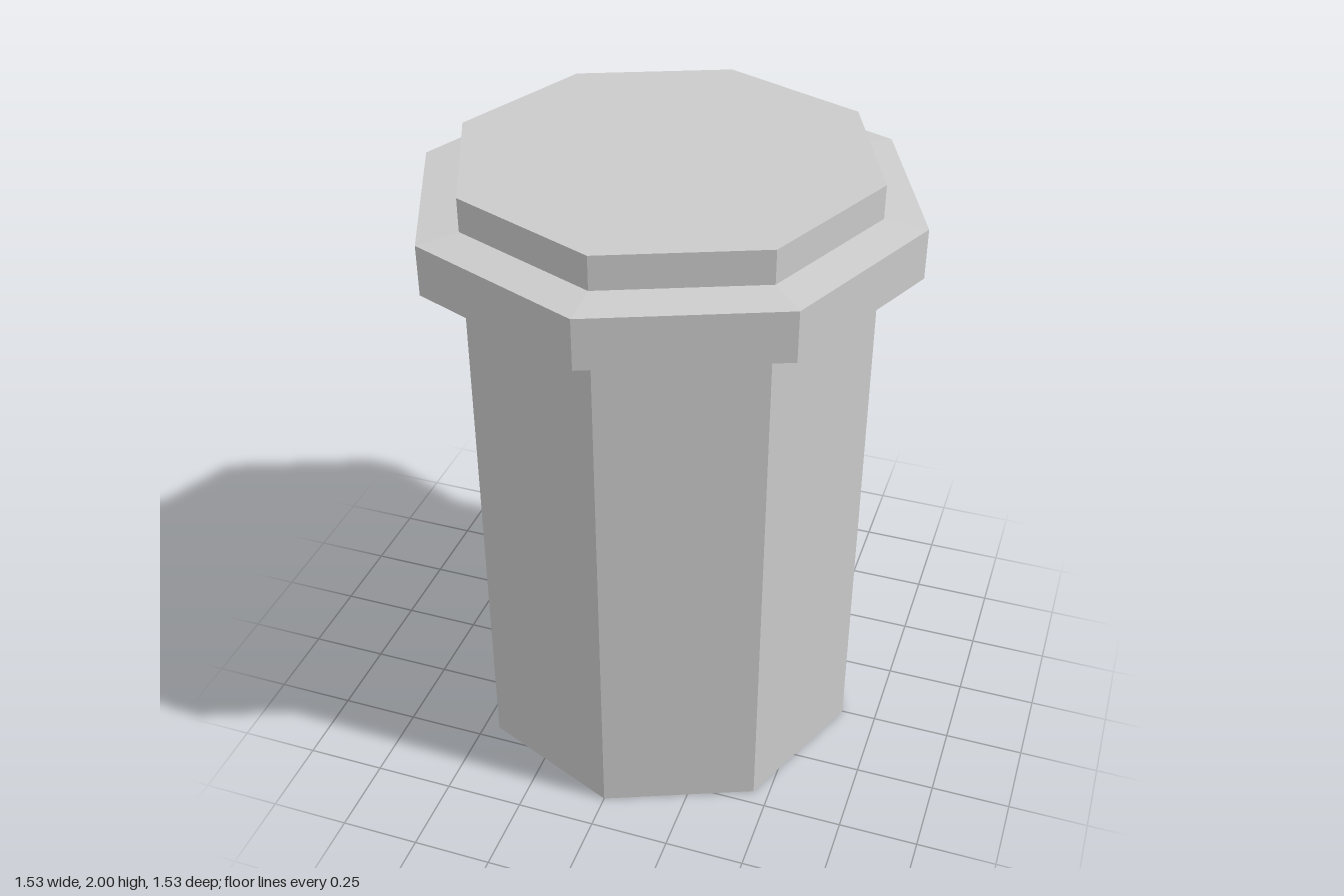
import * as THREE from 'three';

const R = 0.637;                              // corner radius of the octagonal body
const SIDES = 8;
const HALF = R * Math.sin(Math.PI / SIDES);   // half width of one wall
const APOTHEM = R * Math.cos(Math.PI / SIDES);
const WALL = 0.014;                           // wall thickness
const HEIGHT = 2;
const WINDOW_HALF = 0.122;
const WINDOW_SIDE = 6;                        // the wall that carries the openings
const WINDOWS = [[0.014, 0.36], [0.46, 0.775]];

const material = new THREE.MeshStandardMaterial({ color: 0xcccccc, flatShading: true });

function add(group, name, geometry) {
  const mesh = new THREE.Mesh(geometry, material);
  mesh.name = name;
  group.add(mesh);
  return mesh;
}

// Upright rectangle, used for walls and their openings
function rectangle(path, half, y0, y1) {
  path.moveTo(-half, y0);
  path.lineTo(half, y0);
  path.lineTo(half, y1);
  path.lineTo(-half, y1);
  path.closePath();
  return path;
}

// One flat wall panel, with its outer face on the octagon
function wallGeometry(openings) {
  const shape = rectangle(new THREE.Shape(), HALF, 0, HEIGHT);
  for (const [y0, y1] of openings) {
    shape.holes.push(rectangle(new THREE.Path(), WINDOW_HALF, y0, y1));
  }
  const geometry = new THREE.ExtrudeGeometry(shape, { depth: WALL, bevelEnabled: false });
  return geometry.translate(0, 0, APOTHEM - WALL);
}

export function createModel() {
  const model = new THREE.Group();
  model.name = 'octagonalTower';

  // Hollow body: eight walls, one with two openings
  const walls = new THREE.Group();
  walls.name = 'walls';
  for (let i = 0; i < SIDES; i++) {
    const open = i === WINDOW_SIDE;
    const wall = add(walls, open ? 'windowWall' : 'wall', wallGeometry(open ? WINDOWS : []));
    wall.rotation.y = (i + 0.5) * Math.PI * 2 / SIDES;
  }
  model.add(walls);

  // Floor and roof close the body
  const plate = new THREE.CylinderGeometry(R - 0.004, R - 0.004, WALL, SIDES);
  add(model, 'floor', plate).position.y = WALL / 2;
  add(model, 'roof', plate).position.y = HEIGHT - WALL / 2;

  // Collar with slightly sloped top and underside
  const profile = [[R - 0.01, 1.718], [0.765, 1.73], [0.765, 1.885], [R - 0.01, 1.898]]
    .map(([x, y]) => new THREE.Vector2(x, y));
  const collar = new THREE.LatheGeometry(profile, SIDES).toNonIndexed();
  collar.computeVertexNormals();
  add(model, 'collar', collar);

  return model;
}
